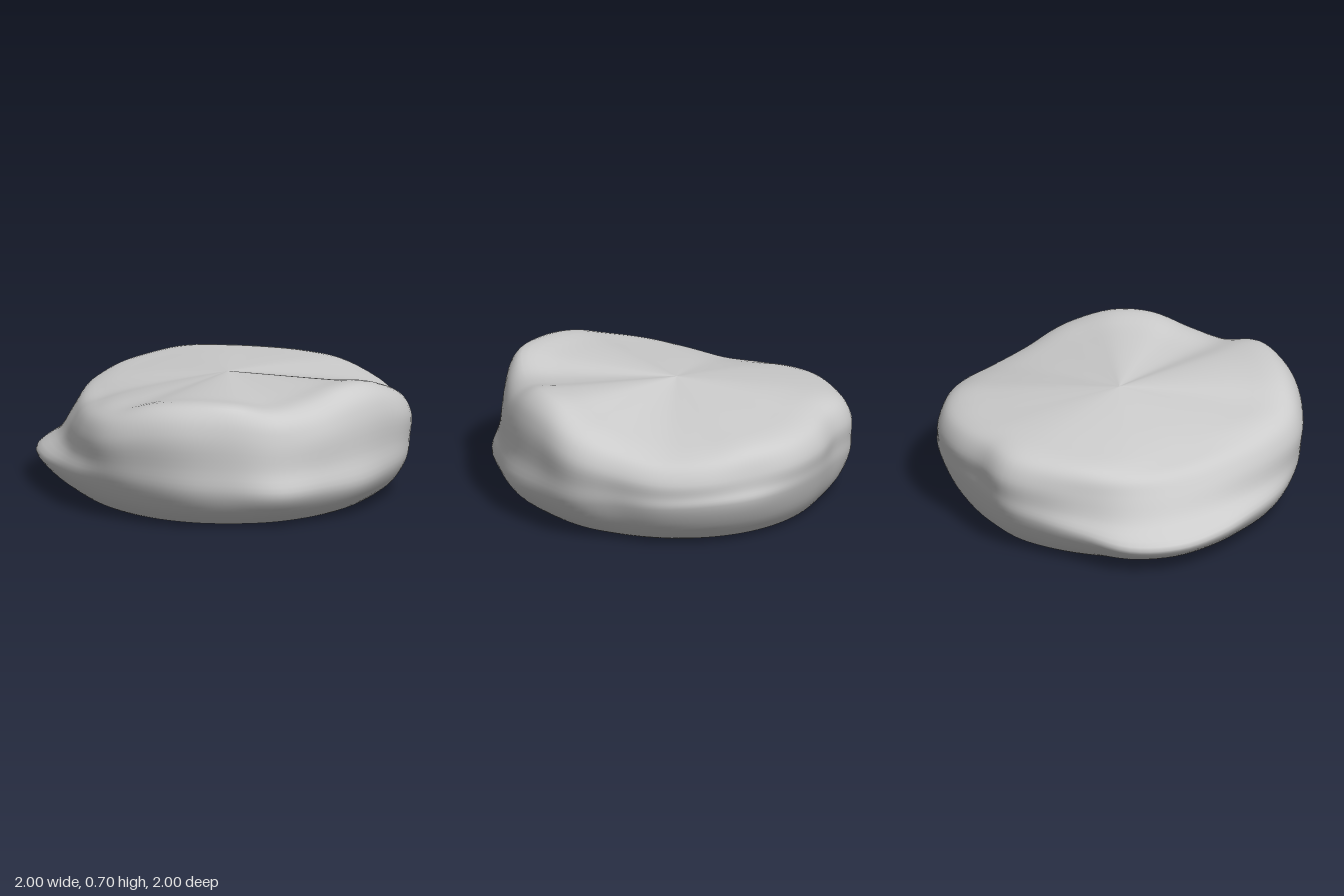
import * as THREE from 'three';

// One row per 15 degrees, from +x round through +z:
// [lower radius, lower height, upper radius, crest height, crest radius]
const KEYS = [
  [.99, .21, .95, .705, .82], [.98, .21, .94, .655, .80], [1.0, .21, .94, .635, .83],
  [.97, .22, .97, .69, .89], [.98, .23, .99, .695, .87], [.97, .24, .99, .665, .87],
  [.97, .24, .99, .60, .87], [.97, .22, .93, .57, .79], [.97, .20, .87, .545, .70],
  [1.01, .18, .84, .52, .66], [1.06, .17, .86, .52, .69], [1.04, .17, .88, .53, .76],
  [.95, .20, .88, .54, .81], [.93, .23, .91, .56, .81], [.94, .25, .95, .575, .82],
  [.90, .26, .91, .58, .78], [.93, .27, .95, .565, .82], [.97, .28, .98, .555, .86],
  [1.0, .28, .98, .545, .88], [1.0, .27, .99, .52, .86], [.98, .25, .98, .51, .84],
  [.95, .24, .97, .55, .84], [.99, .23, 1.01, .625, .87], [.98, .22, .97, .70, .84],
];
const APEX = 0.65, SIDES = 120, ROWS = 44;
const { lerp } = THREE.MathUtils;

// Smooth periodic interpolation of one column of the key rows
function sample(t, column) {
  const n = KEYS.length, i = Math.floor(t), f = t - i;
  const [a, b, c, d] = [-1, 0, 1, 2].map(k => KEYS[(i + k + n) % n][column]);
  return b + 0.5 * f * (c - a + f * (2 * a - 5 * b + 4 * c - d + f * (3 * (b - c) + d - a)));
}

// Radius/height profile of the stone at one angle, from base edge to apex
function profile(t) {
  const [low, lowY, up, h, crest] = [0, 1, 2, 3, 4].map(c => sample(t, c));
  const base = 0.78 + 0.15 * (low - 0.97), upY = h * 0.76;
  const v = (r, y) => new THREE.Vector3(r, y, 0);
  return new THREE.CatmullRomCurve3([
    v(base, 0.01),
    v(lerp(base, low, 0.25), 0.035),
    v(lerp(base, low, 0.68), lowY * 0.48),
    v(low, lowY),
    v(lerp(low, up, 0.62), lerp(lowY, upY, 0.45)),
    v(up, upY),
    v(lerp(up, crest, 0.35), h * 0.92),
    v(crest, h),
    v(crest * 0.75, lerp(h, APEX, 0.34)),
    v(crest * 0.35, lerp(h, APEX, 0.72)),
    v(0, APEX),
  ], false, 'centripetal');
}

function bodyGeometry() {
  const position = [], index = [];
  for (let s = 0; s < SIDES; s++) {
    const a = s / SIDES * Math.PI * 2;
    const curve = profile(s / SIDES * KEYS.length);
    for (let r = 0; r <= ROWS; r++) {
      const p = curve.getPoint(r / ROWS);
      position.push(p.x * Math.cos(a), p.y, p.x * Math.sin(a));
      if (r === ROWS) continue;
      const i = s * (ROWS + 1) + r, j = ((s + 1) % SIDES) * (ROWS + 1) + r;
      index.push(i, i + 1, j);
      if (r < ROWS - 1) index.push(j, i + 1, j + 1);
    }
  }
  const g = new THREE.BufferGeometry();
  g.setAttribute('position', new THREE.Float32BufferAttribute(position, 3));
  g.setIndex(index);
  g.computeVertexNormals();
  return g;
}

// Flat underside following the base edge
function baseGeometry() {
  const outline = [];
  for (let s = 0; s < SIDES; s++) {
    const a = s / SIDES * Math.PI * 2;
    const r = profile(s / SIDES * KEYS.length).points[0].x;
    outline.push(new THREE.Vector2(r * Math.cos(a), r * Math.sin(a)));
  }
  return new THREE.ShapeGeometry(new THREE.Shape(outline)).rotateX(Math.PI / 2).translate(0, 0.01, 0);
}

export function createModel() {
  const model = new THREE.Group();
  model.name = 'boulder';
  const material = new THREE.MeshStandardMaterial({ color: 0xcccccc });
  const parts = { stoneBody: bodyGeometry(), stoneBase: baseGeometry() };
  for (const [name, geometry] of Object.entries(parts)) {
    const mesh = new THREE.Mesh(geometry, material);
    mesh.name = name;
    mesh.position.y = -0.005;
    model.add(mesh);
  }
  return model;
}
